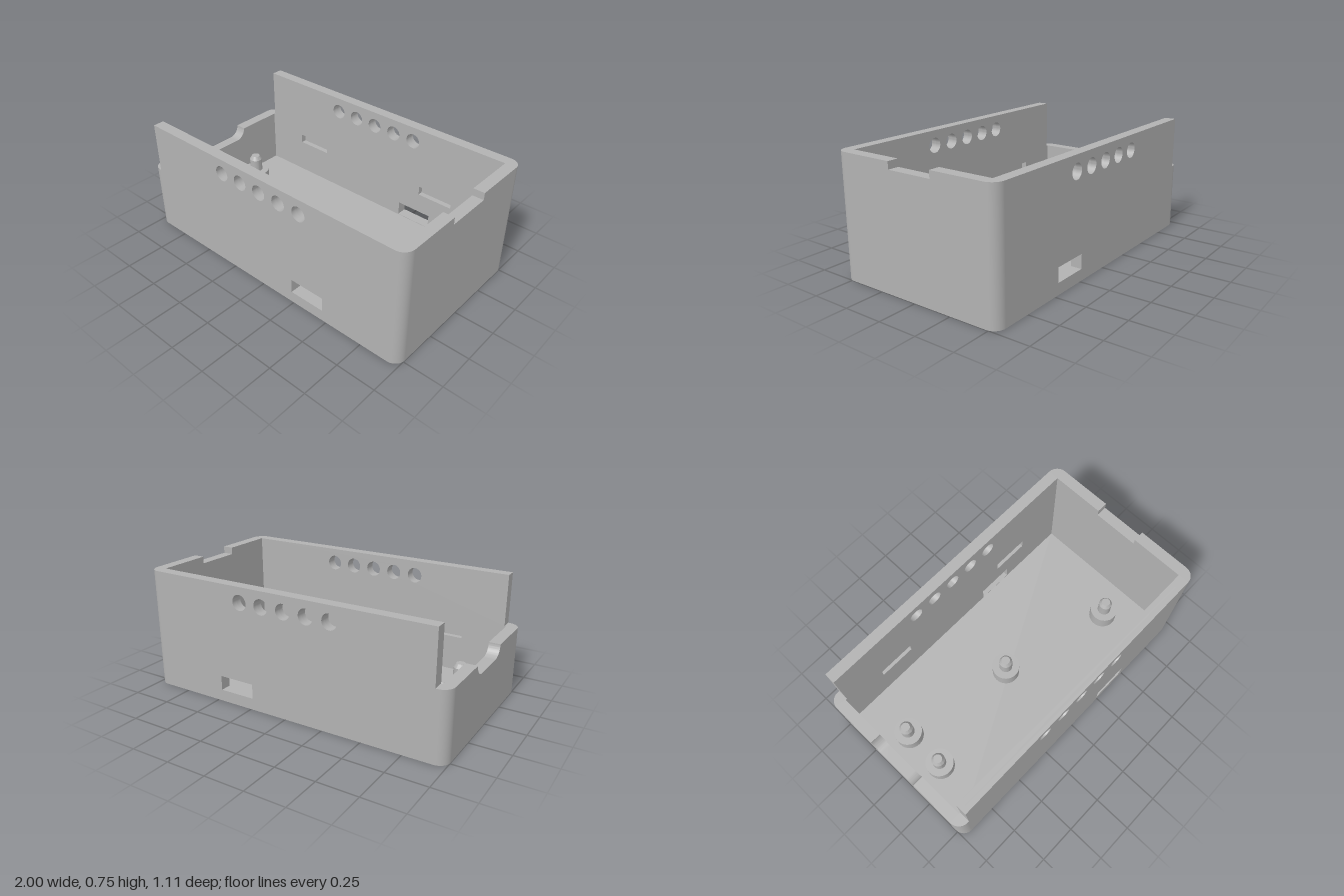
import * as THREE from 'three';
import { toCreasedNormals } from 'three/addons/utils/BufferGeometryUtils.js';

const T = 0.07;               // wall and floor thickness, also corner radius
const X = 0.93, Z = 0.485;    // inner half sizes
const H = 0.755, LOW = 0.43;  // full wall height, lowered end height

function extrude(shape, depth) {
  const g = new THREE.ExtrudeGeometry(shape, { depth, bevelEnabled: false, curveSegments: 16 });
  return toCreasedNormals(g, 0.6);
}

function rectHole(x0, x1, y0, y1) {
  const p = new THREE.Path();
  p.moveTo(x0, y0).lineTo(x0, y1).lineTo(x1, y1).lineTo(x1, y0).closePath();
  return p;
}

// Long wall layer: round vents and a port, plus catch recesses on the inner layer
function longWallShape(withRecesses) {
  const s = new THREE.Shape();
  s.moveTo(-X, 0).lineTo(X, 0).lineTo(X, H).lineTo(-0.92, H).lineTo(-0.92, LOW).lineTo(-X, LOW).closePath();
  for (let i = -2; i <= 2; i++) {
    const p = new THREE.Path();
    p.absarc(i * 0.151, 0.66, 0.048, 0, Math.PI * 2, true);
    s.holes.push(p);
  }
  s.holes.push(rectHole(0.235, 0.47, 0.073, 0.165));
  if (withRecesses) {
    s.holes.push(rectHole(-0.65, -0.41, 0.295, 0.355), rectHole(0.38, 0.62, 0.295, 0.355));
  }
  return s;
}

// Tall end wall with a shallow rectangular notch
function tallEndShape() {
  const s = new THREE.Shape();
  s.moveTo(-Z, 0).lineTo(Z, 0).lineTo(Z, H).lineTo(0.145, H).lineTo(0.145, 0.71);
  s.lineTo(-0.145, 0.71).lineTo(-0.145, H).lineTo(-Z, H).closePath();
  return s;
}

// Low end wall with a round-cornered cable notch
function lowEndShape() {
  const r = 0.07, w = 0.18;
  const s = new THREE.Shape();
  s.moveTo(-Z, 0).lineTo(Z, 0).lineTo(Z, LOW).lineTo(w, LOW);
  s.absarc(w - r, LOW, r, 0, -Math.PI / 2, true);
  s.lineTo(-w + r, LOW - r);
  s.absarc(-w + r, LOW, r, -Math.PI / 2, -Math.PI, true);
  s.lineTo(-Z, LOW).closePath();
  return s;
}

export function createModel() {
  const model = new THREE.Group();
  model.name = 'enclosure';
  const grey = new THREE.MeshStandardMaterial({ color: 0xb2b2b2 });
  grey.name = 'grey plastic';
  const add = (name, geometry, x = 0, y = 0, z = 0) => {
    const m = new THREE.Mesh(geometry, grey);
    m.name = name;
    m.position.set(x, y, z);
    model.add(m);
    return m;
  };

  add('floor', new THREE.BoxGeometry(2 * X, T, 2 * Z), 0, T / 2, 0);

  // Front and back walls, each an outer and an inner layer
  const outer = extrude(longWallShape(false), T / 2);
  const inner = extrude(longWallShape(true), T / 2);
  add('frontWallOuter', outer, 0, 0, Z + T / 2);
  add('frontWallInner', inner, 0, 0, Z);
  add('backWallOuter', outer, 0, 0, -Z - T);
  add('backWallInner', inner, 0, 0, -Z - T / 2);

  // End walls
  add('tallEndWall', extrude(tallEndShape(), T).rotateY(Math.PI / 2), X, 0, 0);
  add('lowEndWall', extrude(lowEndShape(), T).rotateY(Math.PI / 2), -X - T, 0, 0);

  // Rounded corner posts
  [[1, 1], [1, -1], [-1, -1], [-1, 1]].forEach(([sx, sz], i) => {
    const h = sx > 0 ? H : LOW;
    const g = new THREE.CylinderGeometry(T, T, h, 12, 1, false, i * Math.PI / 2, Math.PI / 2);
    add('cornerPost', g, sx * X, h / 2, sz * Z);
  });

  // Board standoffs with tapered locating pins
  const profile = [[0.088, T], [0.088, 0.17], [0.042, 0.17], [0.042, 0.255], [0.027, 0.28], [0, 0.28]]
    .map(([r, y]) => new THREE.Vector2(r, y));
  const standoff = toCreasedNormals(new THREE.LatheGeometry(profile, 32).toNonIndexed(), 0.4);
  for (const [x, z] of [[-0.785, -0.145], [-0.785, 0.14], [-0.045, 0], [0.705, 0.195]]) {
    add('standoff', standoff, x, 0, z);
  }
  return model;
}
